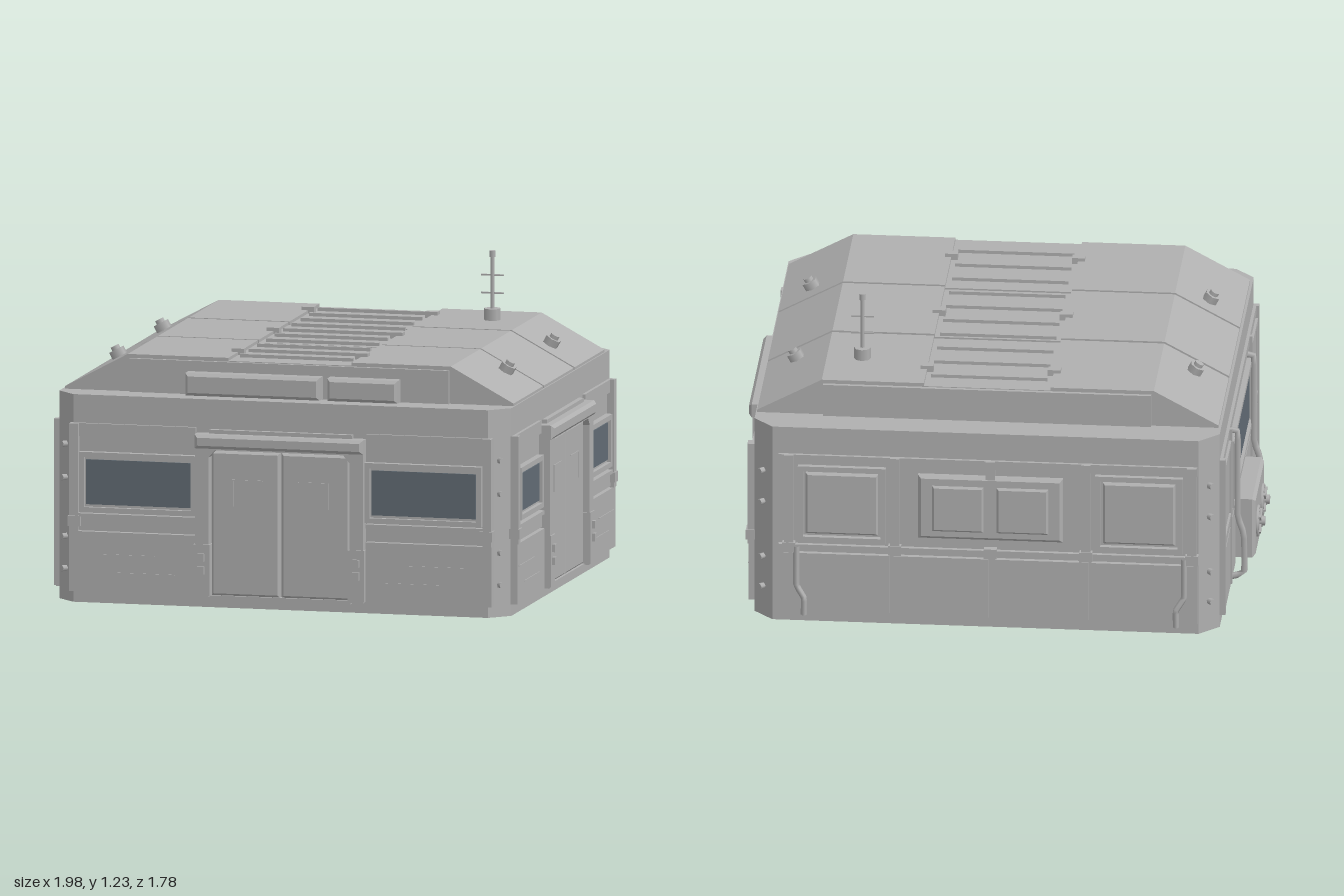
import * as THREE from 'three';

export function createModel() {
  const model = new THREE.Group();
  model.name = 'modularCabin';
  const std = (name, color) => {
    const m = new THREE.MeshStandardMaterial({ color });
    m.name = name;
    return m;
  };
  const grey = std('panelGrey', 0xb0b0b0);
  const glass = std('windowGlass', 0x626c75);

  const add = (parent, name, geo, mat = grey) => {
    const mesh = new THREE.Mesh(geo, mat);
    mesh.name = name;
    parent.add(mesh);
    return mesh;
  };
  // Box given by its limits
  const block = (parent, name, x0, x1, y0, y1, z0, z1, mat) => {
    const m = add(parent, name, new THREE.BoxGeometry(Math.abs(x1 - x0), y1 - y0, z1 - z0), mat);
    m.position.set((x0 + x1) / 2, (y0 + y1) / 2, (z0 + z1) / 2);
    return m;
  };
  const outline = (pts) => new THREE.Shape(pts.map((p) => new THREE.Vector2(p[0], p[1])));
  const extrude = (shape, depth) => new THREE.ExtrudeGeometry(shape, { depth, bevelEnabled: false });

  // Plate on a wall, d = how far it stands out
  const plate = (w, name, u0, u1, y0, y1, d, mat) => block(w, name, u0, u1, y0, y1, -0.01, d, mat);
  // Plate with a chamfered rim
  const bevelPlate = (w, name, u0, u1, y0, y1, d, b = 0.012) => {
    const s = outline([[u0 + b, y0 + b], [u1 - b, y0 + b], [u1 - b, y1 - b], [u0 + b, y1 - b]]);
    add(w, name, new THREE.ExtrudeGeometry(s, {
      depth: d - b, bevelThickness: b, bevelSize: b, bevelSegments: 1,
    }));
  };
  // Rectangular ring
  const ring = (w, name, u0, u1, y0, y1, t, d) => {
    const s = outline([[u0, y0], [u1, y0], [u1, y1], [u0, y1]]);
    s.holes.push(outline([[u0 + t, y0 + t], [u0 + t, y1 - t], [u1 - t, y1 - t], [u1 - t, y0 + t]]));
    add(w, name, extrude(s, d));
  };
  const windowUnit = (w, u0, u1, y0, y1) => {
    ring(w, 'windowFrame', u0 - 0.025, u1 + 0.025, y0 - 0.03, y1 + 0.03, 0.02, 0.026);
    plate(w, 'windowPane', u0, u1, y0, y1, 0.015, glass);
    plate(w, 'windowSurround', u0 - 0.02, u1 + 0.02, y0 - 0.02, y1 + 0.02, 0.01);
  };
  const tube = (parent, name, pts, r) => add(parent, name, new THREE.TubeGeometry(
    new THREE.CatmullRomCurve3(pts.map((p) => new THREE.Vector3(...p)), false, 'catmullrom', 0.1), 20, r, 6));

  // Double sliding door with its portal
  const doorway = (w, d) => {
    const o = 0.335, i = 0.28;
    const s = outline([[-o, 0.045], [-i, 0.045], [-i, 0.59], [-i + 0.025, 0.62], [i - 0.025, 0.62],
      [i, 0.59], [i, 0.045], [o, 0.045], [o, 0.65], [o - 0.025, 0.68], [-o + 0.025, 0.68], [-o, 0.65]]);
    add(w, 'doorPortal', extrude(s, d - 0.015));
    bevelPlate(w, 'doorLintel', -o, o, 0.625, 0.68, d);
    plate(w, 'doorHood', -o + 0.05, o - 0.05, 0.68, 0.695, 0.02);
    plate(w, 'doorThreshold', -i, i, 0.035, 0.05, 0.025);
    for (const k of [-1, 1]) {
      bevelPlate(w, 'doorLeaf', k < 0 ? -0.275 : 0.004, k < 0 ? -0.004 : 0.275, 0.05, 0.612, 0.022, 0.008);
      plate(w, 'doorTrim', k * 0.07, k * 0.19, 0.5, 0.504, 0.025);
      plate(w, 'doorTrim', k * 0.187, k * 0.191, 0.4, 0.504, 0.025);
      plate(w, 'portalFoot', k * 0.275, k * 0.34, 0.05, 0.25, d - 0.01);
      for (const y of [0.15, 0.2]) plate(w, 'doorButton', k * 0.295, k * 0.322, y - 0.015, y + 0.015, d + 0.002);
    }
  };

  // Wall with doors and two windows
  const doorWall = (w, end, g0, g1, y0, y1, d) => {
    doorway(w, d);
    for (const k of [-1, 1]) {
      plate(w, 'lowerPanel', k * 0.34, k * end, 0.045, 0.28, 0.024);
      plate(w, 'middlePanel', k * 0.34, k * end, 0.285, 0.345, 0.014);
      plate(w, 'sillRail', k * 0.34, k * (end - 0.03), 0.335, 0.35, 0.024);
      plate(w, 'headPanel', k * 0.34, k * end, 0.65, 0.7, 0.012);
      plate(w, 'endPost', k * (end - 0.035), k * end, 0.28, 0.7, 0.028);
      plate(w, 'postClamp', k * (end - 0.045), k * (end + 0.005), 0.3, 0.34, 0.034);
      plate(w, 'panelTrim', k * 0.42, k * 0.66, 0.12, 0.124, 0.027);
      plate(w, 'panelTrim', k * 0.5, k * 0.74, 0.19, 0.194, 0.027);
      windowUnit(w, k < 0 ? -g1 : g0, k < 0 ? -g0 : g1, y0, y1);
    }
  };
  const wall = (name, x, z, turn) => {
    const g = new THREE.Group();
    g.name = name;
    g.position.set(x, 0, z);
    g.rotation.y = turn * Math.PI / 2;
    model.add(g);
    return g;
  };

  // Shell with chamfered corners
  const x0 = -0.88, x1 = 0.92, z0 = -0.85, z1 = 0.82, c = 0.075;
  const shell = extrude(outline([[x0 + c, -z1], [x1 - c, -z1], [x1, -z1 + c], [x1, -z0 - c],
    [x1 - c, -z0], [x0 + c, -z0], [x0, -z0 - c], [x0, -z1 + c]]), 0.81);
  add(model, 'shell', shell.rotateX(-Math.PI / 2));

  // Corner bolts
  for (const [sx, x] of [[-1, x0], [1, x1]]) for (const [sz, z] of [[-1, z0], [1, z1]]) {
    for (const y of [0.125, 0.25, 0.48, 0.61]) {
      const b = add(model, 'cornerBolt', new THREE.CylinderGeometry(0.013, 0.013, 0.03, 6));
      b.position.set(x - sx * c * 0.45, y, z - sz * c * 0.45);
      b.quaternion.setFromUnitVectors(new THREE.Vector3(0, 1, 0), new THREE.Vector3(sx, 0, sz).normalize());
    }
  }

  // Front and right-hand walls
  doorWall(wall('frontWall', 0.025, z1, 0), 0.84, 0.36, 0.775, 0.385, 0.56, 0.06);
  doorWall(wall('doorSideWall', x1, -0.012, 1), 0.76, 0.38, 0.68, 0.395, 0.54, 0.06);

  // Back wall: framed panels, posts, central hatch
  const back = wall('backWall', 0, z0, 2);
  plate(back, 'headRail', -0.82, 0.8, 0.665, 0.7, 0.012);
  plate(back, 'middleRail', -0.82, 0.8, 0.3, 0.325, 0.016);
  for (const u of [-0.78, -0.37, 0, 0.37, 0.78]) {
    plate(back, 'wallPost', u - 0.018, u + 0.018, u ? 0.3 : 0.6, 0.7, 0.022);
    plate(back, 'postClamp', u - 0.025, u + 0.025, 0.295, 0.335, 0.026);
  }
  for (const k of [-1, 1]) {
    ring(back, 'sidePanelFrame', k * 0.575 - 0.17, k * 0.575 + 0.17, 0.34, 0.655, 0.02, 0.02);
    bevelPlate(back, 'sidePanel', k * 0.575 - 0.14, k * 0.575 + 0.14, 0.37, 0.625, 0.014, 0.008);
    bevelPlate(back, 'hatchPlate', k * 0.125 - 0.1, k * 0.125 + 0.1, 0.405, 0.595, 0.033, 0.008);
    plate(back, 'lowerPanel', k * 0.39, k * 0.8, 0.045, 0.29, 0.018);
    plate(back, 'lowerPanel', k * 0.008, k * 0.38, 0.045, 0.29, 0.018);
    tube(back, 'drainPipe', [[k * 0.75, 0.32, 0.02], [k * 0.75, 0.16, 0.024],
      [k * 0.72, 0.11, 0.035], [k * 0.72, 0.04, 0.035]], 0.012);
  }
  bevelPlate(back, 'hatchBase', -0.28, 0.28, 0.37, 0.635, 0.024);

  // Window side with handrails and fan unit
  const side = wall('fanSideWall', x0, -0.015, 3);
  windowUnit(side, -0.39, 0.39, 0.38, 0.6);
  plate(side, 'headRail', -0.76, 0.76, 0.665, 0.7, 0.012);
  plate(side, 'middleRail', -0.76, 0.76, 0.3, 0.325, 0.016);
  for (const k of [-1, 1]) {
    ring(side, 'sidePanelFrame', k * 0.595 - 0.13, k * 0.595 + 0.13, 0.34, 0.655, 0.018, 0.02);
    bevelPlate(side, 'sidePanel', k * 0.595 - 0.1, k * 0.595 + 0.1, 0.37, 0.625, 0.016, 0.008);
    plate(side, 'wallPost', k * 0.44, k * 0.46, 0.05, 0.7, 0.022);
    plate(side, 'endPost', k * 0.735, k * 0.76, 0.05, 0.7, 0.022);
    plate(side, 'lowerPanel', k * 0.23, k * 0.75, 0.045, 0.29, 0.016);
    tube(side, 'handrail', [[k * 0.365, 0.66, 0], [k * 0.365, 0.65, 0.035], [k * 0.365, 0.3, 0.035],
      [k * 0.365, 0.22, 0.06], [k * 0.365, 0.06, 0.06], [k * 0.365, 0.04, 0.0]], 0.013);
    const u = k * 0.105 - 0.01;
    const fan = (name, r, d) => {
      const m = add(side, name, new THREE.CylinderGeometry(r, r, d, 16));
      m.rotation.x = Math.PI / 2;
      m.position.set(u, 0.17, 0.085 + d / 2);
    };
    fan('fanDisc', 0.045, 0.015);
    fan('fanHub', 0.018, 0.035);
    add(side, 'fanRim', new THREE.TorusGeometry(0.055, 0.008, 6, 20)).position.set(u, 0.17, 0.092);
    for (const a of [0.25, 0.75]) {
      const spoke = add(side, 'fanSpoke', new THREE.BoxGeometry(0.1, 0.012, 0.01));
      spoke.position.set(u, 0.17, 0.102);
      spoke.rotation.z = a * Math.PI;
    }
  }
  bevelPlate(side, 'fanHousing', -0.21, 0.2, 0.055, 0.3, 0.09);

  // Roof: core and three slabs with a sunken middle walkway
  const zBar = (name, pts, za, zb) => {
    add(model, name, extrude(outline(pts), zb - za)).position.z = za;
  };
  zBar('roofCore', [[-0.84, 0.8], [0.88, 0.8], [0.655, 0.935], [-0.615, 0.935]], -0.7, 0.68);
  const slab = [[-0.87, 0.81], [0.915, 0.81], [0.915, 0.82], [0.665, 0.955], [0.27, 0.955], [0.27, 0.943],
    [-0.22, 0.943], [-0.22, 0.955], [-0.62, 0.955], [-0.87, 0.82]];
  for (const [a, b] of [[-0.715, -0.253], [-0.237, 0.223], [0.237, 0.695]]) zBar('roofSlab', slab, a, b);
  block(model, 'frontFascia', -0.61, 0.66, 0.81, 0.94, 0.69, 0.71);
  block(model, 'backFascia', -0.61, 0.66, 0.81, 0.94, -0.73, -0.71);
  const sign = wall('frontRoofBoxes', 0, 0.71, 0);
  bevelPlate(sign, 'roofBoxLong', -0.375, 0.16, 0.812, 0.9, 0.06);
  bevelPlate(sign, 'roofBoxShort', 0.19, 0.47, 0.812, 0.9, 0.06);
  for (let i = 0; i < 10; i++) {
    const z = -0.62 + i * 0.134;
    block(model, 'walkwayRung', -0.2, 0.25, 0.94, 0.956, z - 0.008, z + 0.008);
  }
  for (const x of [-0.222, 0.27]) for (const z of [-0.56, -0.02, 0.525]) {
    block(model, 'walkwayBracket', x - 0.025, x + 0.025, 0.94, 0.968, z - 0.017, z + 0.017);
  }

  // Vents on the roof slopes
  for (const [x, s] of [[-0.745, -1], [0.79, 1]]) for (const z of [-0.36, 0.33]) {
    const vent = new THREE.Group();
    vent.name = 'slopeVent';
    vent.position.set(x, 0.887, z);
    vent.rotation.z = -s * 0.5;
    model.add(vent);
    add(vent, 'ventNut', new THREE.CylinderGeometry(0.032, 0.032, 0.06, 6));
    add(vent, 'ventCap', new THREE.CylinderGeometry(0.018, 0.02, 0.09, 8));
  }

  // Antenna
  const mast = new THREE.Group();
  mast.name = 'antenna';
  mast.position.set(0.527, 0, -0.49);
  model.add(mast);
  const rod = (name, r, a, b, n) => {
    add(mast, name, new THREE.CylinderGeometry(r, r, b - a, n)).position.y = (a + b) / 2;
  };
  rod('antennaBase', 0.033, 0.95, 1.0, 8);
  rod('antennaRod', 0.008, 1.0, 1.21, 8);
  rod('antennaTip', 0.012, 1.2, 1.225, 8);
  for (const y of [1.06, 1.13]) block(mast, 'antennaBar', -0.045, 0.045, y - 0.003, y + 0.003, -0.003, 0.003);

  return model;
}
